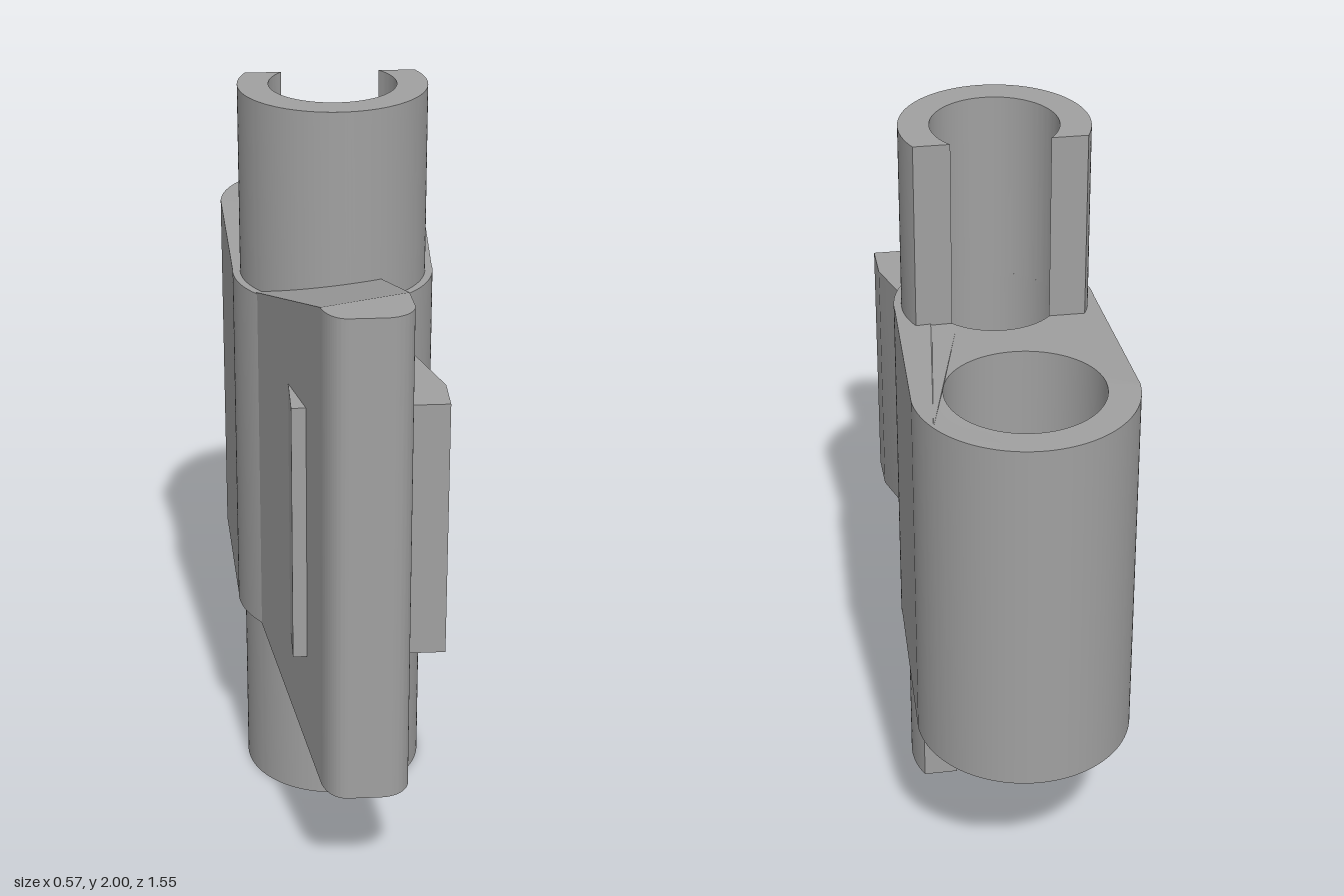
import * as THREE from 'three';
import { toCreasedNormals } from 'three/addons/utils/BufferGeometryUtils.js';

const MID = 1.003; // height of the horizontal mirror plane

export function createModel() {
  const group = new THREE.Group();
  const grey = new THREE.MeshStandardMaterial({ color: 0xa0a0a0 });
  grey.name = 'plain grey';

  // Extrudes a plan shape (drawn in x, -z) upward; trim(x, z) shortens both ends
  function addPart(name, shape, bottom, top, trim) {
    const geo = new THREE.ExtrudeGeometry(shape, {
      depth: top - bottom, bevelEnabled: false, curveSegments: 48,
    });
    geo.rotateX(-Math.PI / 2).translate(0, bottom, 0);
    if (trim) {
      const p = geo.attributes.position;
      for (let i = 0; i < p.count; i++) {
        const d = trim(p.getX(i), p.getZ(i));
        p.setY(i, p.getY(i) + (p.getY(i) > MID ? -d : d));
      }
    }
    const mesh = new THREE.Mesh(toCreasedNormals(geo, 0.5), grey);
    mesh.name = name;
    group.add(mesh);
  }

  const polygon = (points) => new THREE.Shape(points.map(([x, z]) => new THREE.Vector2(x, -z)));
  const hole = (z, r) => new THREE.Path().absarc(0, -z, r, 0, Math.PI * 2, true);

  // Body: two round ends joined by tangent sides, with two through holes
  const tilt = Math.asin(0.02 / 0.49);
  const body = new THREE.Shape();
  body.absarc(0, 0.49, 0.285, tilt, Math.PI - tilt, false);
  body.absarc(0, 0, 0.265, Math.PI - tilt, Math.PI * 2 + tilt, false);
  body.closePath();
  body.holes.push(hole(-0.49, 0.203), hole(0, 0.165));
  addPart('body', body, 0.497, 1.509,
    (x, z) => 0.018 * (1 - THREE.MathUtils.clamp(-z / 0.47, 0, 1)));

  // Open-backed sleeves above and below the body
  const outer = Math.asin(0.105 / 0.245);
  const inner = Math.asin(0.105 / 0.165);
  const sleeve = new THREE.Shape();
  sleeve.absarc(0, 0, 0.245, Math.PI - outer, Math.PI * 2 + outer, false);
  sleeve.absarc(0, 0, 0.165, Math.PI * 2 + inner, Math.PI - inner, true);
  sleeve.closePath();
  addPart('upperSleeve', sleeve, 1.48, 2);
  addPart('lowerSleeve', sleeve, 0, 0.52);

  // Fin: flat-ended rounded nose, and a wedge sloping back to the body
  const nose = new THREE.Shape();
  nose.moveTo(0.144, -0.62);
  nose.lineTo(-0.075, -0.7);
  nose.bezierCurveTo(-0.067, -0.74, -0.045, -0.775, -0.01, -0.775);
  nose.lineTo(0.075, -0.775);
  nose.bezierCurveTo(0.12, -0.775, 0.153, -0.74, 0.15, -0.7);
  nose.closePath();
  addPart('finNose', nose, 0.337, 1.669);
  const wedge = polygon([[-0.21, 0.15], [-0.075, 0.7], [0.144, 0.62], [0.11, 0.2]]);
  addPart('finWedge', wedge, 0.337, 1.669,
    (x, z) => 0.3 * Math.max(0, 0.62 + (0.144 - x) * 0.3653 - z));

  // Block passing through the fin
  const block = polygon([[-0.14, 0.585], [0.255, 0.585], [0.255, 0.47],
    [0.17, 0.2], [0, 0.2], [-0.14, 0.435]]);
  addPart('sideBlock', block, 0.65, 1.356);

  return group;
}
